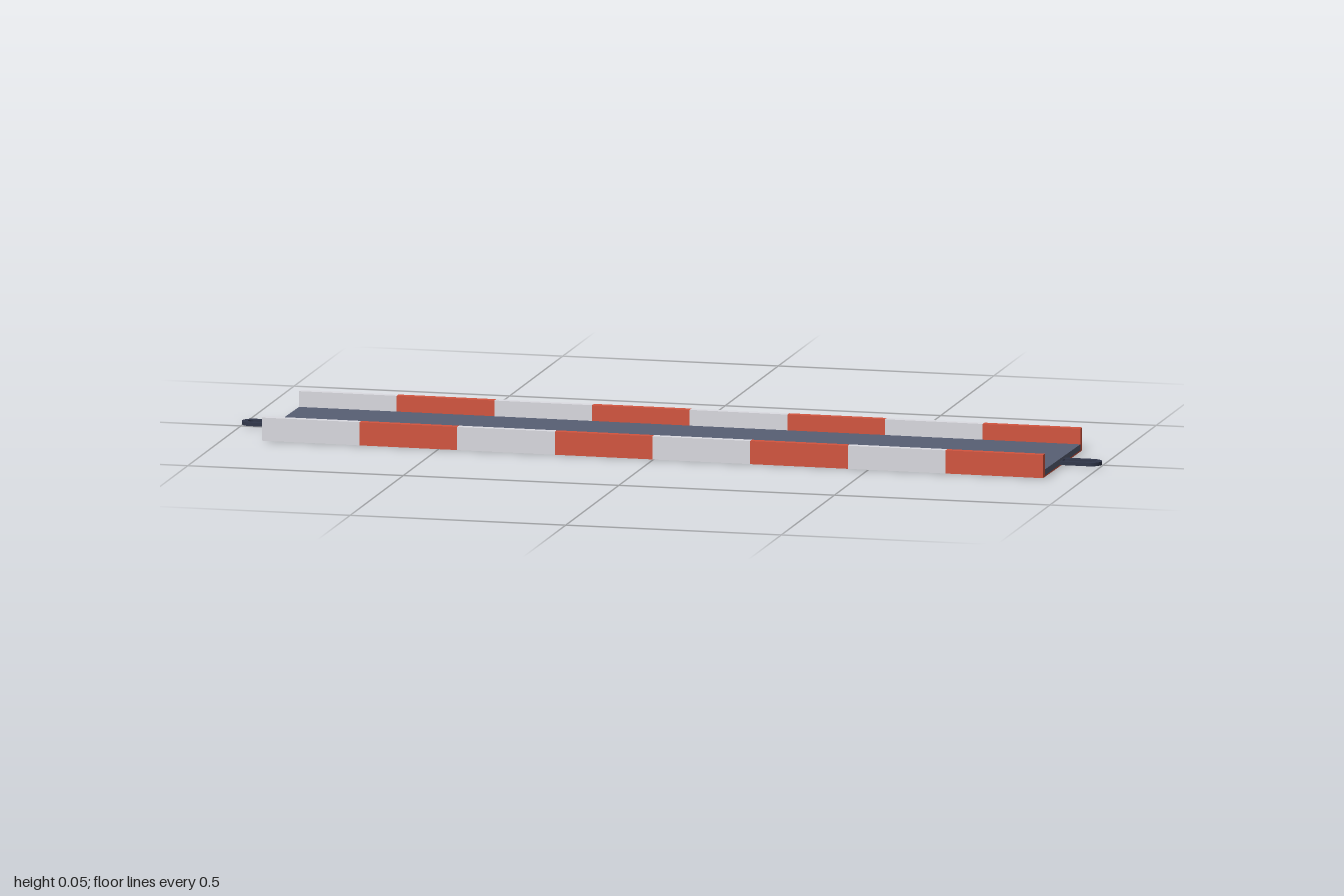
import * as THREE from 'three';

const material = (name, color) => {
  const m = new THREE.MeshStandardMaterial({ color });
  m.name = name;
  return m;
};

export function createModel() {
  const white = material('white', 0xdcdce2);
  const red = material('red', 0xd4553f);
  const slate = material('slate', 0x585f74);
  const iron = material('darkIron', 0x30364a);

  const model = new THREE.Group();
  model.name = 'stripedChannel';

  const halfLength = 0.909, halfWidth = 0.175, height = 0.053;
  const wall = 0.017, base = 0.003, deckTop = 0.017;

  const add = (geometry, mat, name) => {
    const mesh = new THREE.Mesh(geometry, mat);
    mesh.name = name;
    model.add(mesh);
    return mesh;
  };

  // U-shaped channel in eight alternating colour segments
  const profile = new THREE.Shape([
    [-halfWidth, 0], [halfWidth, 0], [halfWidth, height], [halfWidth - wall, height],
    [halfWidth - wall, base], [-halfWidth + wall, base], [-halfWidth + wall, height], [-halfWidth, height],
  ].map(([x, y]) => new THREE.Vector2(x, y)));
  const count = 8, step = 2 * halfLength / count;
  for (let i = 0; i < count; i++) {
    const geometry = new THREE.ExtrudeGeometry(profile, { depth: step, bevelEnabled: false });
    geometry.rotateY(Math.PI / 2).translate(-halfLength + i * step, 0, 0);
    add(geometry, i % 2 ? red : white, 'channelSegment' + (i + 1));
  }

  // Deck lying between the side walls
  const deck = add(
    new THREE.BoxGeometry(2 * halfLength, deckTop - base, 2 * (halfWidth - wall)), slate, 'deck');
  deck.position.y = (deckTop + base) / 2;

  // Flat slotted loop at each end, rounded at its tip
  const roundedTab = (path, r, start, end) => {
    path.moveTo(start, -r);
    path.lineTo(end - r, -r);
    path.absarc(end - r, 0, r, -Math.PI / 2, Math.PI / 2, false);
    path.lineTo(start, r);
    path.closePath();
    return path;
  };
  const loop = roundedTab(new THREE.Shape(), 0.025, halfLength - 0.015, 1);
  loop.holes.push(roundedTab(new THREE.Path(), 0.011, halfLength + 0.002, 0.986));
  for (const side of [1, -1]) {
    const geometry = new THREE.ExtrudeGeometry(loop, { depth: 0.008, bevelEnabled: false, curveSegments: 12 });
    geometry.rotateX(-Math.PI / 2).translate(0, 0.003, 0);
    if (side < 0) geometry.rotateY(Math.PI);
    add(geometry, iron, side > 0 ? 'leftLoop' : 'rightLoop');
  }

  // The whole piece lies slightly askew
  model.rotation.y = -0.0127;
  return model;
}
